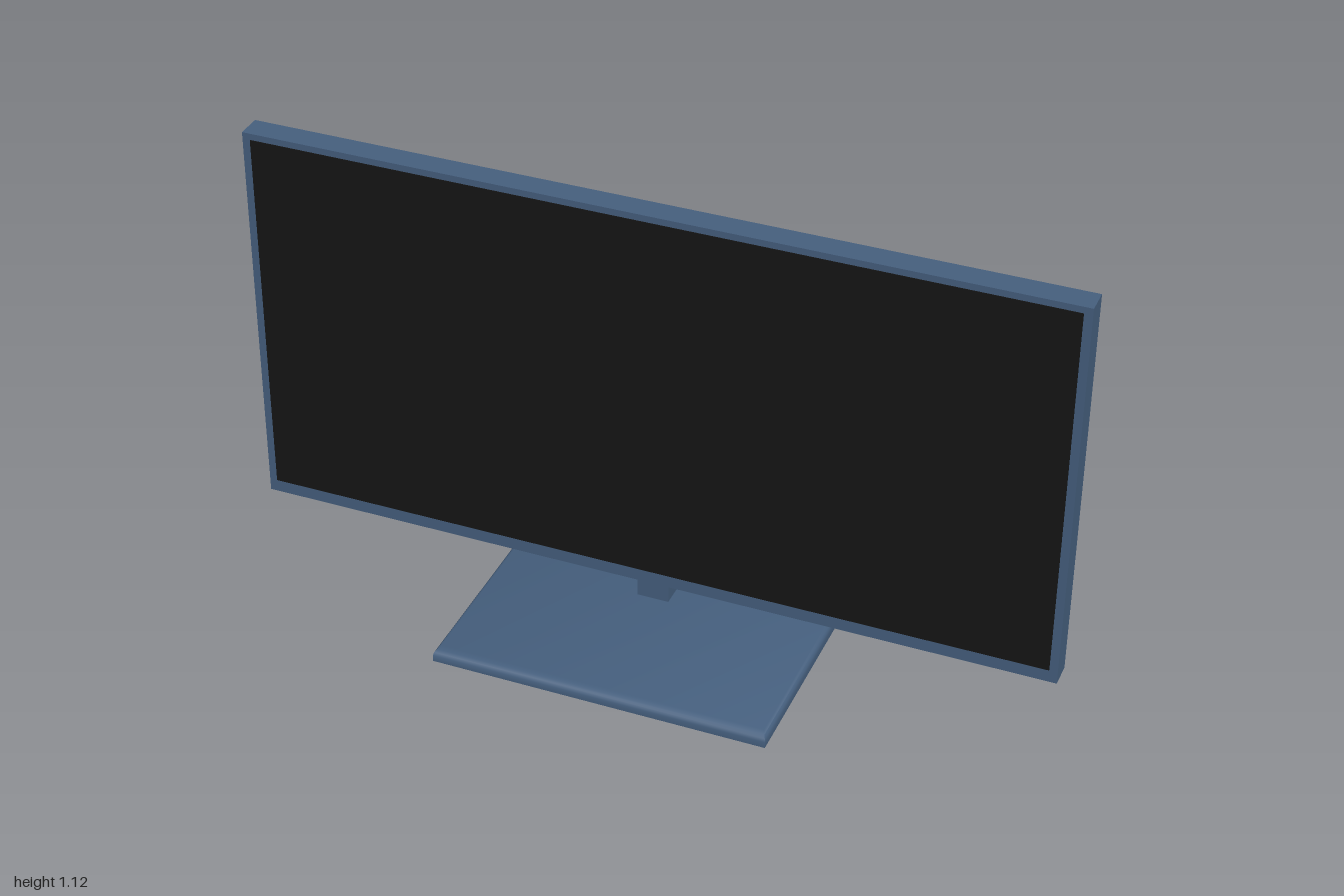
import * as THREE from 'three';
import { toCreasedNormals } from 'three/addons/utils/BufferGeometryUtils.js';

// Stacks rectangles [halfWidth, yLow, yHigh, z] along +z, with capped ends
function loftRects(sections) {
  const pos = [], idx = [];
  for (const [w, lo, hi, z] of sections) pos.push(-w, lo, z, w, lo, z, w, hi, z, -w, hi, z);
  const last = (sections.length - 1) * 4;
  for (let s = 0; s < last; s += 4) {
    for (let i = 0; i < 4; i++) {
      const a = s + i, b = s + (i + 1) % 4;
      idx.push(a, b, b + 4, a, b + 4, a + 4);
    }
  }
  idx.push(0, 2, 1, 0, 3, 2, last, last + 1, last + 2, last, last + 2, last + 3);
  const geo = new THREE.BufferGeometry();
  geo.setAttribute('position', new THREE.Float32BufferAttribute(pos, 3));
  geo.setIndex(idx);
  return geo;
}

export function createModel() {
  const model = new THREE.Group();
  model.name = 'television';
  const blue = new THREE.MeshStandardMaterial({ color: 0x46607f });
  const black = new THREE.MeshStandardMaterial({ color: 0x151515 });

  const add = (name, geo, material) => {
    const mesh = new THREE.Mesh(geo, material);
    mesh.name = name;
    model.add(mesh);
    return mesh;
  };
  const addBox = (name, x0, x1, y0, y1, z0, z1, material) =>
    add(name, new THREE.BoxGeometry(x1 - x0, y1 - y0, z1 - z0), material)
      .position.set((x0 + x1) / 2, (y0 + y1) / 2, (z0 + z1) / 2);

  // Flat panel and its nearly flush screen
  addBox('panelHousing', -1, 1, 0.125, 1.12, -0.135, -0.072, blue);
  addBox('screen', -0.98, 0.98, 0.158, 1.104, -0.08, -0.07, black);

  // Neck rising behind the panel into the rear cover
  addBox('standNeck', -0.05, 0.03, 0.025, 0.22, -0.19, -0.134, blue);

  // Tapered rear cover with softened rim
  const cover = loftRects([
    [0.215, 0.16, 0.412, 0.13],
    [0.213, 0.161, 0.411, 0.138],
    [0.19, 0.173, 0.397, 0.178],
    [0.183, 0.178, 0.391, 0.186],
    [0.168, 0.188, 0.378, 0.191],
  ]).rotateY(Math.PI);
  add('rearCover', toCreasedNormals(cover, 0.9), blue).position.x = -0.005;

  // Base plate, rounded along its top edges
  const base = loftRects([
    [0.415, -0.25, 0.25, 0],
    [0.415, -0.25, 0.25, 0.016],
    [0.413, -0.246, 0.246, 0.023],
    [0.409, -0.238, 0.238, 0.028],
    [0.403, -0.225, 0.225, 0.031],
  ]).rotateX(-Math.PI / 2);
  add('standBase', toCreasedNormals(base, 0.9), blue).position.x = 0.005;

  return model;
}
